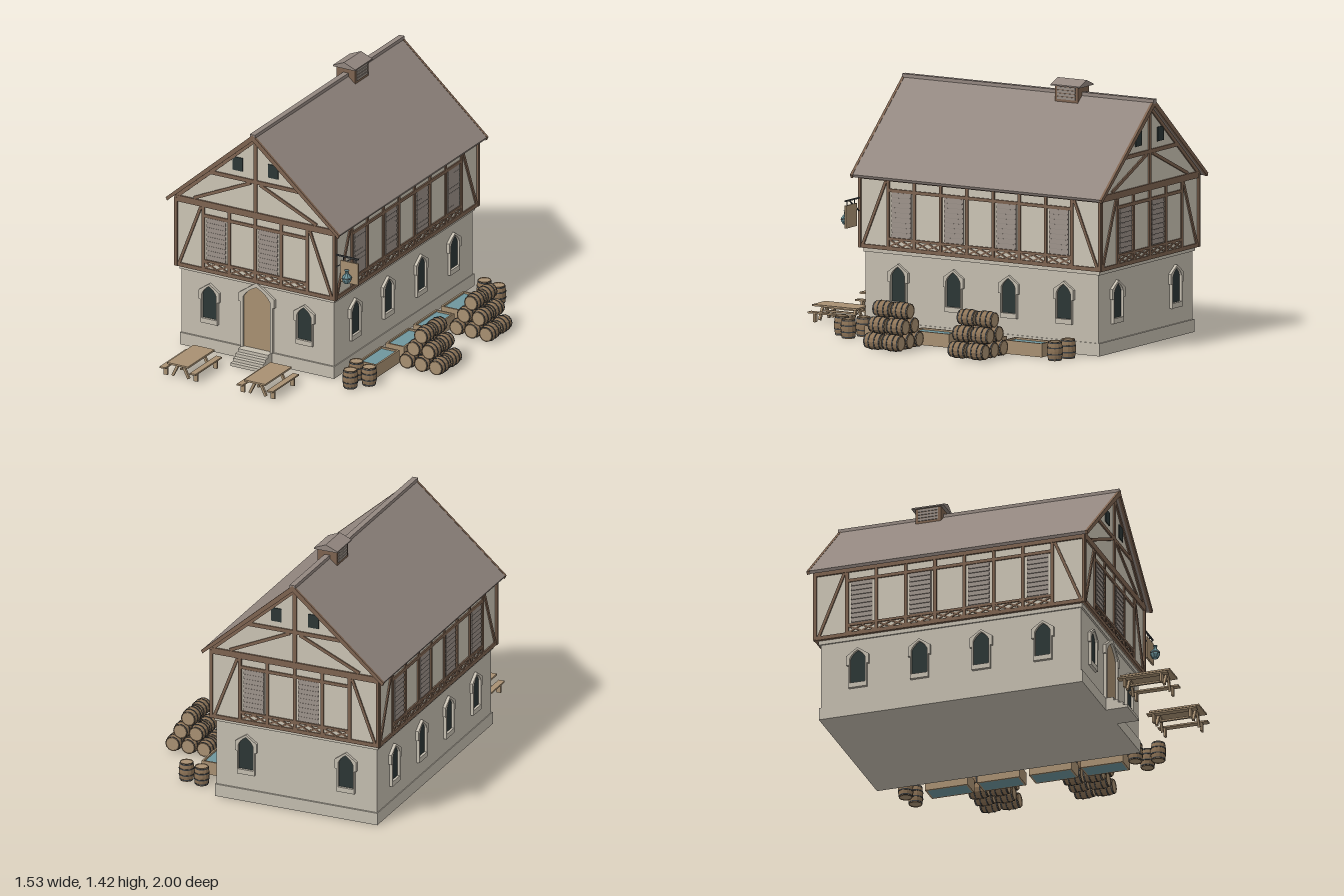
import * as THREE from 'three';

const mat = (name, hex, extra = {}) => Object.assign(new THREE.MeshStandardMaterial({ color: hex, ...extra }), { name });

export function createModel() {
  const model = new THREE.Group();
  model.name = 'tavern';
  const M = {
    plaster: mat('plaster', 0xcbc4b4),
    stone: mat('stone', 0xc4bdaf),
    timber: mat('timber', 0x7d6350),
    roof: mat('roofSlate', 0x938780),
    shutter: mat('shutterGrey', 0x968c84),
    wood: mat('lightWood', 0xa89072),
    barrel: mat('barrelWood', 0x8f7558),
    dark: mat('darkGlass', 0x2c3635),
    iron: mat('iron', 0x3f4244),
    water: mat('water', 0x6f969d),
  };

  const add = (parent, name, geo, material, x = 0, y = 0, z = 0) => {
    const m = new THREE.Mesh(geo, material);
    m.name = name;
    m.position.set(x, y, z);
    parent.add(m);
    return m;
  };
  const group = (parent, name, x = 0, y = 0, z = 0, ry = 0) => {
    const g = new THREE.Group();
    g.name = name;
    g.position.set(x, y, z);
    g.rotation.y = ry;
    parent.add(g);
    return g;
  };
  // Box given by its limits
  const box = (parent, name, material, x0, x1, y0, y1, z0, z1) =>
    add(parent, name, new THREE.BoxGeometry(x1 - x0, y1 - y0, z1 - z0), material,
      (x0 + x1) / 2, (y0 + y1) / 2, (z0 + z1) / 2);
  // Straight beam between two points of a wall plane
  const beam = (parent, name, x0, y0, x1, y1, w = 0.018, d = 0.016, material = M.timber, z = 0) => {
    const m = add(parent, name, new THREE.BoxGeometry(Math.hypot(x1 - x0, y1 - y0), w, d),
      material, (x0 + x1) / 2, (y0 + y1) / 2, z);
    m.rotation.z = Math.atan2(y1 - y0, x1 - x0);
    return m;
  };
  const poly = (pts) => new THREE.Shape(pts.map(([x, y]) => new THREE.Vector2(x, y)));
  const prism = (shape, depth) =>
    new THREE.ExtrudeGeometry(shape, { depth, bevelEnabled: false, curveSegments: 4 });

  const house = group(model, 'house', -0.225, 0, -0.195);
  const HX = 0.495, HZ = 0.768, LX = 0.478, LZ = 0.745;

  // Walls
  box(house, 'plinth', M.stone, -0.483, 0.483, 0, 0.07, -0.755, 0.755);
  box(house, 'lowerWalls', M.stone, -LX, LX, 0.07, 0.47, -LZ, LZ);
  box(house, 'stringCourse', M.stone, -0.486, 0.486, 0.445, 0.468, -0.755, 0.755);
  add(house, 'upperWalls', prism(poly([[-HX, 0.468], [HX, 0.468], [HX, 0.875], [0, 1.315], [-HX, 0.875]]), 2 * HZ),
    M.plaster, 0, 0, -HZ);

  // Roof slabs with timber verges
  const chevron = (x, top, eave, t) => poly([[-x, eave], [-x + 0.008, eave - t * 0.5], [0, top - t],
    [x - 0.008, eave - t * 0.5], [x, eave], [0, top]]);
  add(house, 'roof', prism(chevron(0.54, 1.345, 0.87, 0.03), 1.594), M.roof, 0, 0, -0.797);
  for (const z of [-0.805, 0.79])
    add(house, 'verge', prism(chevron(0.543, 1.347, 0.869, 0.036), 0.015), M.timber, 0, 0, z);
  box(house, 'ridgeCap', M.roof, -0.016, 0.016, 1.325, 1.35, -0.805, 0.805);

  // Louvred ridge vent
  const vent = group(house, 'ridgeVent', 0, 0, -0.275);
  box(vent, 'ventBody', M.timber, -0.058, 0.058, 1.29, 1.385, -0.073, 0.073);
  for (const s of [-1, 1])
    for (let i = 0; i < 4; i++)
      add(vent, 'ventSlat', new THREE.BoxGeometry(0.008, 0.014, 0.115), M.shutter, s * 0.058, 1.315 + i * 0.018, 0);
  add(vent, 'ventCap', prism(poly([[-0.07, 1.38], [0.07, 1.38], [0.07, 1.387], [0, 1.416], [-0.07, 1.387]]), 0.185),
    M.roof, 0, 0, -0.0925);

  // Slatted shutter filling a bay
  const shutter = (wall, x) => {
    const g = group(wall, 'shutter', x, 0, 0);
    box(g, 'shutterBack', M.shutter, -0.062, 0.062, 0.54, 0.788, 0, 0.003);
    for (let i = 0; i < 9; i++)
      add(g, 'shutterSlat', new THREE.BoxGeometry(0.12, 0.024, 0.004), M.shutter, 0, 0.556 + i * 0.0272, 0.005)
        .rotation.x = -0.15;
  };

  // Timber frame of one upper wall: posts, rails, crosses and corner braces
  const frame = (wall, half, bays, step) => {
    const e = (bays * step) / 2;
    beam(wall, 'sillBeam', -half, 0.478, half, 0.478, 0.022);
    beam(wall, 'headBeam', -half, 0.865, half, 0.865, 0.036, 0.02);
    beam(wall, 'lintelRail', -e, 0.797, e, 0.797, 0.018);
    beam(wall, 'lowRail', -e, 0.532, e, 0.532, 0.014);
    for (let i = 0; i <= bays; i++)
      beam(wall, 'post', -e + i * step, 0.47, -e + i * step, 0.85);
    for (let i = 0; i < bays; i++) {
      const c = -e + (i + 0.5) * step;
      if (i % 2 === 0) shutter(wall, c);
      for (const o of [-0.037, 0.037])
        for (const s of [-1, 1])
          beam(wall, 'crossBrace', c + o - 0.037, 0.507 - s * 0.017, c + o + 0.037, 0.507 + s * 0.017, 0.009, 0.01);
    }
    for (const s of [-1, 1]) {
      beam(wall, 'cornerPost', s * (half - 0.005), 0.468, s * (half - 0.005), 0.87, 0.02);
      beam(wall, 'cornerBrace', s * (e + 0.015), 0.845, s * (half - 0.025), 0.487, 0.016);
    }
  };

  // Gable timbers and attic windows
  const gable = (wall) => {
    beam(wall, 'kingPost', 0, 0.88, 0, 1.325, 0.022);
    beam(wall, 'collarBeam', -0.29, 1.06, 0.29, 1.06, 0.022);
    for (const s of [-1, 1]) {
      beam(wall, 'gableBrace', s * 0.03, 1.048, s * 0.385, 0.887, 0.018);
      beam(wall, 'rafter', s * 0.495, 0.874, 0, 1.306, 0.022);
      add(wall, 'atticWindow', new THREE.BoxGeometry(0.062, 0.078, 0.008), M.dark, s * 0.111, 1.143, 0.001);
    }
  };

  // Pointed opening: hooded stone surround with a thin panel
  const lancet = (S, hw, y0, ys, top) => {
    const s = new S();
    s.moveTo(-hw, y0);
    s.lineTo(hw, y0);
    s.lineTo(hw, ys);
    s.quadraticCurveTo(hw * 0.75, ys + (top - ys) * 0.6, 0, top);
    s.quadraticCurveTo(-hw * 0.75, ys + (top - ys) * 0.6, -hw, ys);
    s.lineTo(-hw, y0);
    return s;
  };
  const opening = (wall, name, x, o, material) => {
    const g = group(wall, name, x, 0, 0);
    const right = [[o.w, o.y0], [o.w, o.hood], [o.w + 0.012, o.hood], [o.w + 0.012, o.ys], [0, o.top]];
    const left = right.slice(0, 4).reverse().map(([a, b]) => [-a, b]);
    const s = poly([...right, ...left]);
    s.holes.push(lancet(THREE.Path, ...o.pane));
    add(g, name + 'Surround', prism(s, 0.018), M.stone, 0, 0, -0.001);
    add(g, name + 'Panel', prism(lancet(THREE.Shape, ...o.pane), 0.003), material, 0, 0, 0);
  };
  const WIN = { w: 0.052, y0: 0.16, hood: 0.295, ys: 0.35, top: 0.395, pane: [0.045, 0.188, 0.33, 0.38] };
  const DOOR = { w: 0.1, y0: 0.07, hood: 0.335, ys: 0.385, top: 0.464, pane: [0.085, 0.071, 0.365, 0.436] };

  // The four walls
  for (const [name, a, long] of [['front', 0, 0], ['back', Math.PI, 0], ['left', Math.PI / 2, 1], ['right', -Math.PI / 2, 1]]) {
    const at = (d) => [Math.sin(a) * d, 0, Math.cos(a) * d, a];
    const upper = group(house, name + 'Framing', ...at(long ? HX : HZ));
    frame(upper, long ? HZ + 0.007 : HX + 0.007, long ? 7 : 4, long ? 0.168 : 0.163);
    if (!long) gable(upper);
    const lower = group(house, name + 'Openings', ...at(long ? LX : LZ));
    for (const x of long ? [-0.53, -0.177, 0.177, 0.53] : [-0.297, 0.297]) opening(lower, 'window', x, WIN, M.dark);
    if (name === 'front') opening(lower, 'door', 0, DOOR, M.wood);
  }

  // Door steps
  for (let i = 0; i < 4; i++)
    box(house, 'step', M.stone, -0.094, 0.094, i * 0.018, (i + 1) * 0.018, 0.74, 0.88 - i * 0.027);

  // Hanging sign with a round flask
  const sign = group(model, 'hangingSign', 0, 0, 0.575);
  beam(sign, 'signBar', 0.27, 0.74, 0.42, 0.74, 0.008, 0.008, M.iron);
  beam(sign, 'signBrace', 0.275, 0.665, 0.38, 0.738, 0.006, 0.006, M.iron);
  for (const x of [0.325, 0.405]) beam(sign, 'signHanger', x, 0.71, x, 0.74, 0.004, 0.004, M.iron);
  box(sign, 'signBoard', M.wood, 0.31, 0.42, 0.59, 0.715, -0.005, 0.005);
  const flask = new THREE.LatheGeometry([[0, -0.036], [0.016, -0.034], [0.027, -0.014], [0.027, 0], [0.011, 0.02],
    [0.008, 0.034], [0.013, 0.04], [0, 0.04]].map(([x, y]) => new THREE.Vector2(x, y)), 8).toNonIndexed();
  flask.computeVertexNormals();
  add(sign, 'flask', flask, M.water, 0.365, 0.638, 0.032);
  add(sign, 'flaskBand', new THREE.CylinderGeometry(0.0285, 0.0285, 0.004, 8), M.iron, 0.365, 0.632, 0.032);

  // Water troughs
  for (const z of [-0.58, -0.283, 0.015, 0.31]) {
    const g = group(model, 'trough', 0.3925, 0, z);
    for (const s of [-1, 1]) {
      box(g, 'troughSide', M.wood, s * 0.053 - 0.005, s * 0.053 + 0.005, 0, 0.075, -0.122, 0.122);
      box(g, 'troughEnd', M.wood, -0.048, 0.048, 0, 0.075, s * 0.117 - 0.005, s * 0.117 + 0.005);
    }
    box(g, 'troughWater', M.water, -0.048, 0.048, 0, 0.065, -0.112, 0.112);
  }

  // Barrels: bulged staves, light heads and iron hoops
  const staves = new THREE.LatheGeometry([[0.033, -0.048], [0.036, -0.054], [0.0405, -0.028], [0.042, 0],
    [0.0405, 0.028], [0.036, 0.054], [0.033, 0.048]].map(([x, y]) => new THREE.Vector2(x, y)), 12).toNonIndexed();
  staves.computeVertexNormals();
  const head = new THREE.CylinderGeometry(0.034, 0.034, 0.101, 12);
  const hoops = [[0.0375, 0.046], [0.0422, 0.018]].map(([r, y]) => [new THREE.CylinderGeometry(r + 0.001, r + 0.001, 0.007, 12), y]);
  const barrel = (x, y, z, k = 1, lying = false) => {
    const g = group(model, 'barrel', x, y, z);
    add(g, 'staves', staves, M.barrel);
    add(g, 'barrelHeads', head, M.wood);
    for (const [geo, h] of hoops)
      for (const s of [-1, 1]) add(g, 'hoop', geo, M.iron, 0, s * h, 0);
    g.scale.set(k, 0.98, k);
    if (lying) g.rotation.x = Math.PI / 2;
  };
  for (const [x, z] of [[0.36, 0.495], [0.46, 0.53], [0.392, 0.615], [0.39, -0.832], [0.49, -0.81]]) barrel(x, 0.053, z);
  for (const z of [0.2, 0.083, -0.34, -0.457])
    for (let row = 0; row < 3; row++)
      for (let i = 0; i < 3 - row; i++)
        barrel(0.527 + row * 0.0465 + i * 0.093, 0.047 + row * 0.0825, z, 1.1, true);

  // Picnic tables with benches
  for (const x of [-0.467, 0.016]) {
    const g = group(model, 'picnicTable', x, 0, 0.8575);
    box(g, 'tableTop', M.wood, -0.066, 0.066, 0.08, 0.09, -0.1425, 0.1425);
    for (const s of [-1, 1]) {
      box(g, 'benchSeat', M.wood, s * 0.094 - 0.018, s * 0.094 + 0.018, 0.047, 0.056, -0.1425, 0.1425);
      for (const z of [-0.105, 0.105]) {
        beam(g, 'tableLeg', s * 0.012, 0.082, s * 0.05, 0.005, 0.014, 0.014, M.wood, z);
        box(g, 'benchLeg', M.wood, s * 0.094 - 0.013, s * 0.094 + 0.013, 0, 0.047, z - 0.006, z + 0.006);
      }
    }
    box(g, 'stretcher', M.wood, -0.006, 0.006, 0.045, 0.055, -0.105, 0.105);
  }
  return model;
}
